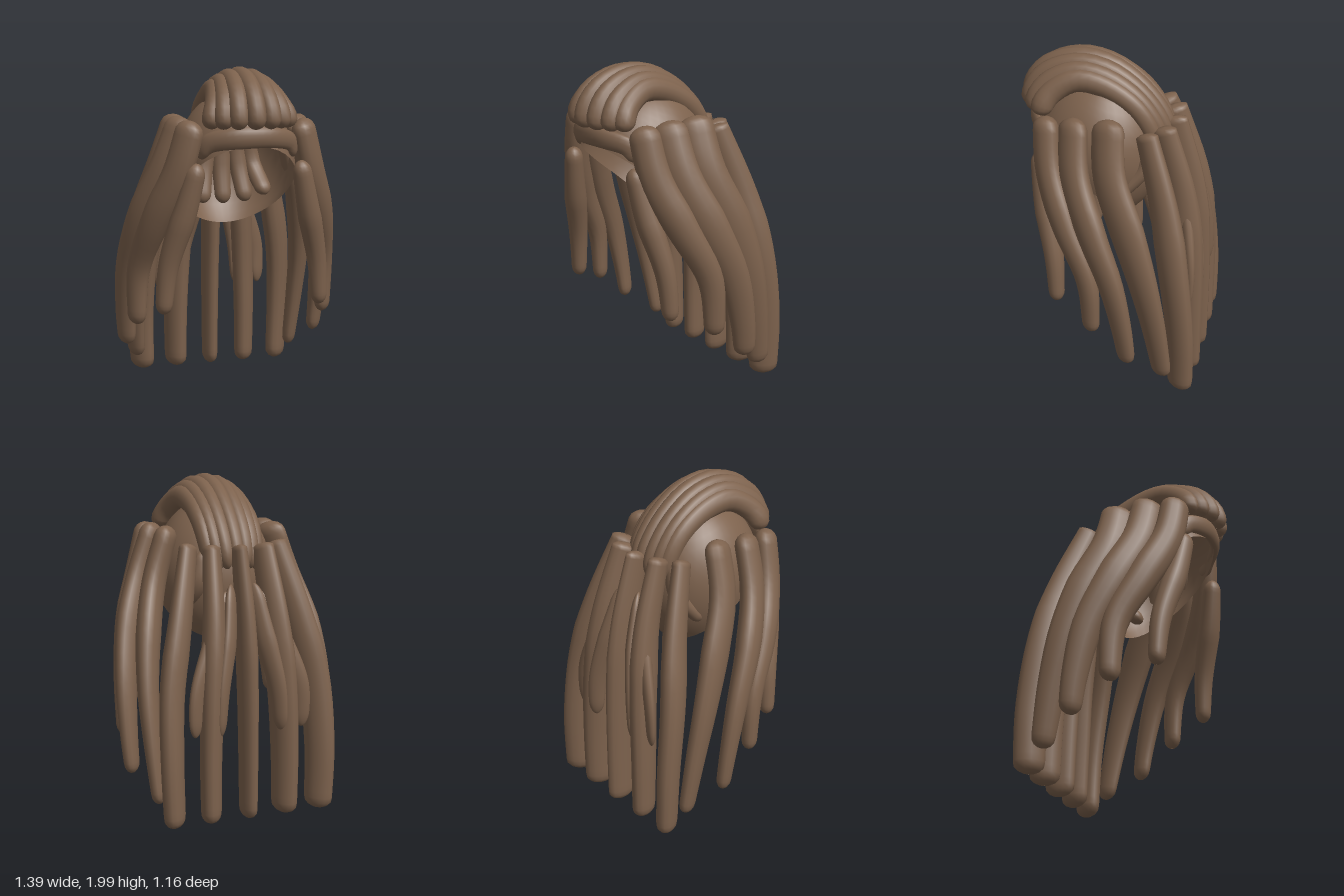
import * as THREE from 'three';

const hair = new THREE.MeshStandardMaterial({ color: 0x7d624d, side: THREE.DoubleSide });
hair.name = 'brown hair';

const SIDES = 14, RINGS = 30;
const lerp = THREE.MathUtils.lerp;

// Indexed surface from a grid of points whose columns wrap around
function gridGeometry(rows, cols, at) {
  const pos = [], idx = [];
  for (let i = 0; i <= rows; i++)
    for (let j = 0; j < cols; j++) pos.push(...at(i, j));
  for (let i = 0; i < rows; i++)
    for (let j = 0; j < cols; j++) {
      const k = (j + 1) % cols, a = i * cols + j, b = i * cols + k;
      idx.push(a, b, a + cols, b, b + cols, a + cols);
    }
  const g = new THREE.BufferGeometry();
  g.setAttribute('position', new THREE.Float32BufferAttribute(pos, 3));
  g.setIndex(idx);
  g.computeVertexNormals();
  return g;
}

// Lock of hair: an oval swept along a path. across = half width along `side`,
// deep = half depth, root and tip = scale at both ends, round = end rounding lengths
function lock(points, side, { across, deep, root = 0.9, tip = 0.6, round = [0.07, 0.06] }) {
  const curve = new THREE.CatmullRomCurve3(points.map(p => new THREE.Vector3(...p)));
  const length = curve.getLength();
  const dome = (d, r) => Math.sqrt(Math.max(0.002, 1 - (1 - Math.min(1, d / r)) ** 2));
  const rings = [];
  for (let i = 0; i <= RINGS; i++) {
    const u = 0.5 - 0.5 * Math.cos(Math.PI * i / RINGS);
    const t = curve.getTangentAt(u);
    const s = side.clone().addScaledVector(t, -side.dot(t)).normalize();
    const n = new THREE.Vector3().crossVectors(t, s);
    const body = u < 0.4 ? lerp(root, 1, u / 0.4) : lerp(1, tip, (u - 0.4) / 0.6);
    const f = body * dome(u * length, round[0]) * dome((1 - u) * length, round[1]);
    rings.push({ c: curve.getPointAt(u), s, n, f });
  }
  return gridGeometry(RINGS, SIDES, (i, j) => {
    const { c, s, n, f } = rings[i], a = j / SIDES * Math.PI * 2;
    return c.clone().addScaledVector(s, across * f * Math.cos(a))
      .addScaledVector(n, deep * f * Math.sin(a)).toArray();
  });
}

export function createModel() {
  const group = new THREE.Group();
  const add = (name, geometry) => {
    const mesh = new THREE.Mesh(geometry, hair);
    mesh.name = name;
    group.add(mesh);
  };
  // Adds a lock, and its mirror image when it is off the middle
  const addLock = (name, points, opts, side) => {
    for (const m of points.some(p => p[0] !== 0) ? [1, -1] : [1]) {
      const pts = points.map(([x, y, z]) => [x * m, y, z]);
      const a = pts[0], b = pts[pts.length - 1];
      const s = side || new THREE.Vector3(b[2] - a[2], 0, a[0] - b[0]).normalize();
      add(name + (m > 0 ? 'Left' : 'Right'), lock(pts, s, opts));
    }
  };
  const sideways = new THREE.Vector3(1, 0, 0);

  // Scalp cap: ellipsoid cut by a plane that falls towards the back, shallower behind
  add('scalpCap', gridGeometry(16, 40, (i, j) => {
    const a = -j / 40 * Math.PI * 2, ca = Math.cos(a), k = 0.273 * ca;
    const end = Math.acos((-0.16 + 0.06 * ca) / Math.hypot(0.46, k)) - Math.atan2(k, 0.46);
    const t = Math.max(0.01, end * i / 16);
    return [0.36 * Math.sin(t) * Math.sin(a), 1.4 + 0.46 * Math.cos(t),
      0.09 + (ca < 0 ? 0.37 : 0.42) * Math.sin(t) * ca];
  }));

  // Soft hairline under the fringe, drooping at the temples
  add('hairline', lock([[-0.29, 1.49, 0.34], [-0.25, 1.57, 0.4], [-0.12, 1.605, 0.475], [0, 1.61, 0.49],
    [0.12, 1.605, 0.475], [0.25, 1.57, 0.4], [0.29, 1.49, 0.34]],
  new THREE.Vector3(0, 1, 0.01), { across: 0.065, deep: 0.035, root: 0.8, tip: 0.8 }));

  // Crown ribs from the fringe over the top to the nape, blended from middle to outermost
  const middle = [[0.52, 1.655], [0.51, 1.76], [0.42, 1.87], [0.24, 1.93], [0.05, 1.905], [-0.13, 1.79], [-0.26, 1.63], [-0.31, 1.48]];
  const outer = [[0.41, 1.655], [0.4, 1.72], [0.35, 1.79], [0.22, 1.86], [0.06, 1.835], [-0.12, 1.73], [-0.21, 1.6], [-0.24, 1.46]];
  const spread = [0.23, 0.225, 0.195, 0.16, 0.15, 0.155, 0.15, 0.13];
  for (const f of [0, 0.42, 0.75, 1])
    addLock('crownRib', middle.map(([z, y], i) =>
      [spread[i] * f, lerp(y, outer[i][1], f * f), lerp(z, outer[i][0], f * f)]),
    { across: 0.06, deep: 0.07, root: 0.95, tip: 0.75, round: [0.06, 0.1] }, sideways);

  // Inner locks lining the back of the cap
  for (const [x0, x1, y, z] of [[0, 0, 1.14, -0.15], [0.08, 0.14, 1.15, -0.13], [0.16, 0.25, 1.2, -0.06]])
    addLock('innerLock', [[x0, 1.58, -0.2], [(x0 + x1) / 2, 1.38, -0.2], [x1, y, z]],
      { across: 0.06, deep: 0.05, tip: 0.85 }, sideways);

  // Side locks sweeping outwards and back
  addLock('templeLock', [[0.31, 1.46, 0.405], [0.37, 1.2, 0.365], [0.46, 0.85, 0.29], [0.49, 0.56, 0.27]],
    { across: 0.07, deep: 0.075, root: 0.75, tip: 0.65 });
  addLock('frontSideLock', [[0.33, 1.7, 0.355], [0.41, 1.4, 0.32], [0.52, 1.1, 0.2], [0.59, 0.8, 0.06], [0.6, 0.45, 0.03]],
    { across: 0.075, deep: 0.1 });
  addLock('middleSideLock', [[0.34, 1.71, 0.19], [0.45, 1.4, 0.16], [0.56, 1.1, 0.04], [0.62, 0.8, -0.09],
    [0.63, 0.5, -0.16], [0.62, 0.27, -0.19]], { across: 0.075, deep: 0.115, tip: 0.55 });
  addLock('rearSideLock', [[0.32, 1.71, -0.01], [0.42, 1.4, -0.04], [0.5, 1.1, -0.16], [0.54, 0.8, -0.26],
    [0.54, 0.5, -0.33], [0.52, 0.13, -0.39]], { across: 0.075, deep: 0.12, tip: 0.55 });

  // Long back locks with blunt tops
  const blunt = { across: 0.073, deep: 0.11, root: 0.7, tip: 0.82, round: [0.02, 0.06] };
  addLock('outerBackLock', [[0.27, 1.62, -0.22], [0.37, 1.2, -0.35], [0.45, 0.8, -0.43], [0.47, 0.4, -0.48], [0.46, 0.01, -0.49]], blunt);
  addLock('innerBackLock', [[0.16, 1.62, -0.3], [0.19, 1.2, -0.42], [0.22, 0.8, -0.47], [0.235, 0.4, -0.485], [0.235, 0.01, -0.49]], blunt);
  addLock('centreBackLock', [[0, 1.62, -0.33], [0, 1.2, -0.43], [0, 0.8, -0.47], [0, 0.4, -0.485], [0, 0.01, -0.49]],
    { ...blunt, across: 0.057 });

  // Shorter locks fanning out from the middle between the long ones
  const short = { across: 0.04, deep: 0.07, root: 0.7, tip: 0.65, round: [0.12, 0.1] };
  addLock('wideShortLock', [[0.09, 1.36, -0.38], [0.21, 1.08, -0.45], [0.32, 0.8, -0.5], [0.335, 0.54, -0.5]], short);
  addLock('narrowShortLock', [[0.07, 1.4, -0.38], [0.11, 1.1, -0.46], [0.17, 0.8, -0.52], [0.19, 0.54, -0.53]], short);

  return group;
}
